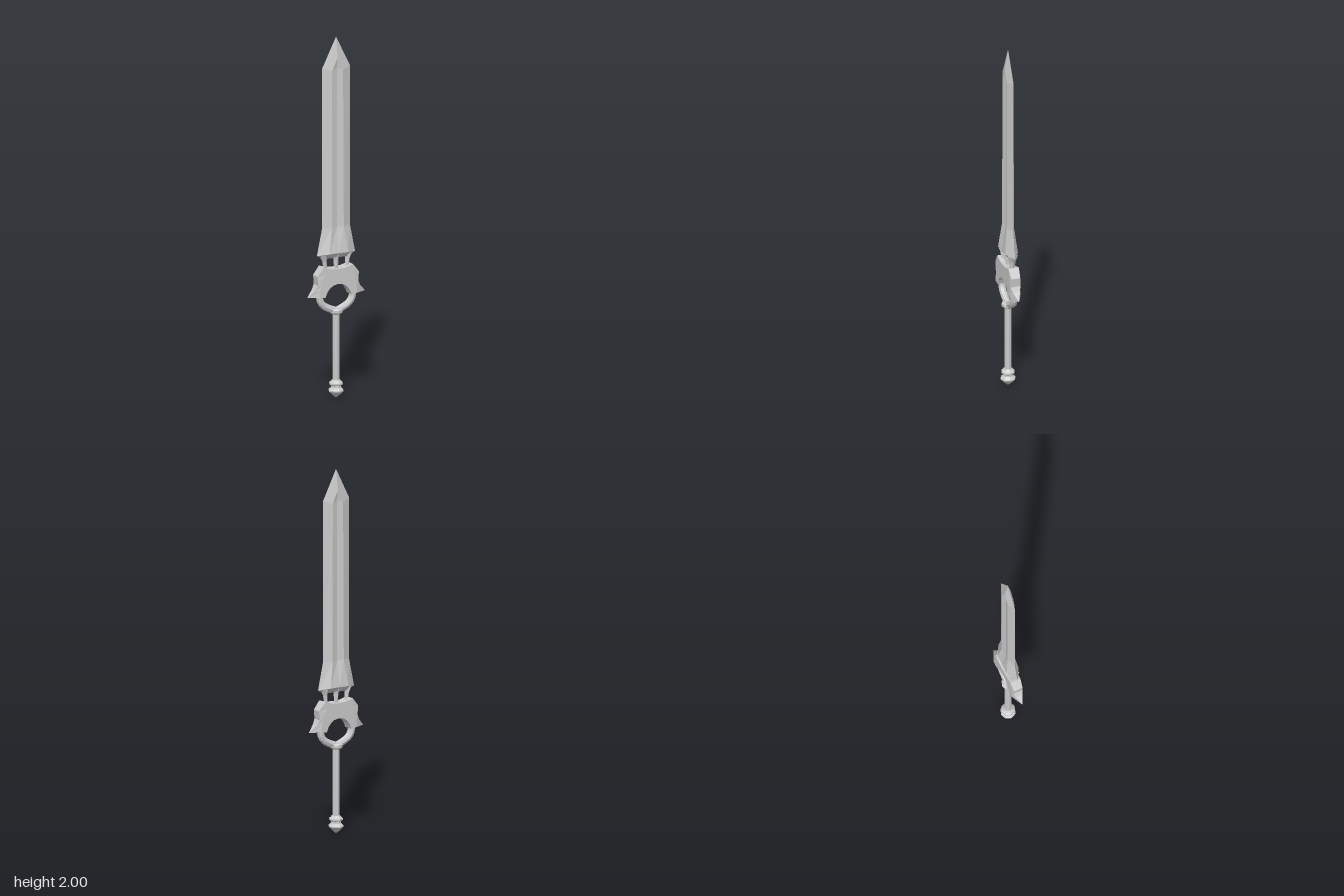
import * as THREE from 'three';

const mat = new THREE.MeshStandardMaterial({ color: 0xcccccc, flatShading: true, side: THREE.DoubleSide });

// Skins a list of closed rings (arrays of [x, y, z]) and caps both ends
function loft(rings) {
  const n = rings[0].length, last = (rings.length - 1) * n, index = [];
  for (let r = 0; r < rings.length - 1; r++) {
    for (let i = 0; i < n; i++) {
      const a = r * n + i, b = r * n + (i + 1) % n;
      index.push(a, b, b + n, a, b + n, a + n);
    }
  }
  for (let i = 1; i < n - 1; i++) index.push(0, i + 1, i, last, last + i, last + i + 1);
  const geo = new THREE.BufferGeometry();
  geo.setAttribute('position', new THREE.Float32BufferAttribute(rings.flat(2), 3));
  geo.setIndex(index);
  const flat = geo.toNonIndexed();
  flat.computeVertexNormals();
  return flat;
}

export function createModel() {
  const group = new THREE.Group();
  const add = (name, geo) => {
    const mesh = new THREE.Mesh(geo, mat);
    mesh.name = name;
    group.add(mesh);
    return mesh;
  };
  const lathe = (name, profile) =>
    add(name, new THREE.LatheGeometry(profile.map(([r, y]) => new THREE.Vector2(r, y)), 8));

  // Blade: cutting edges, fuller borders and a grooved centre line.
  // Row: edge x, edge y, border x, border y, border z, centre y, centre z
  const bladeRows = [
    [0.07, 0.775, 0.045, 0.785, 0.020, 0.785, 0.020],
    [0.115, 0.797, 0.056, 0.808, 0.036, 0.808, 0.034],
    [0.083, 0.95, 0.036, 0.95, 0.021, 0.95, 0.012],
    [0.083, 1.833, 0.033, 1.815, 0.019, 1.83, 0.011],
    [0.083, 1.833, 0.033, 1.815, 0.019, 1.886, 0.018],
    [0, 2, 0, 2, 0, 2, 0],
  ];
  add('blade', loft(bladeRows.map(([ex, ey, bx, by, bz, cy, cz]) => [
    [-ex, ey, 0], [-bx, by, bz], [0, cy, cz], [bx, by, bz],
    [ex, ey, 0], [bx, by, -bz], [0, cy, -cz], [-bx, by, -bz],
  ])));

  // Prongs holding the blade above the guard
  const prong = (name, x, slant, wTop, wBottom, yBottom) => {
    const ring = (y, cx, w, d) => [[cx - w, y, 0], [cx, y, d], [cx + w, y, 0], [cx, y, -d]];
    add(name, loft([
      ring(yBottom, x - slant, wBottom, 0.012),
      ring(0.765, x - slant * 0.5, wBottom * 1.25, 0.019),
      ring(0.80, x, wTop, 0.03),
    ]));
  };
  prong('centreProng', 0, 0, 0.022, 0.012, 0.71);
  for (const s of [1, -1]) prong(s > 0 ? 'leftProng' : 'rightProng', s * 0.075, s * 0.012, 0.026, 0.011, 0.715);

  // Arched guard, thinning towards its pointed wings.
  // Station: inner x, y, middle x, y, outer x, y
  const half = [
    [0, 0.637, 0, 0.69, 0, 0.72],
    [0.03, 0.631, 0.035, 0.69, 0.04, 0.722],
    [0.05, 0.618, 0.075, 0.695, 0.088, 0.735],
    [0.066, 0.598, 0.100, 0.665, 0.125, 0.69],
    [0.074, 0.580, 0.105, 0.630, 0.120, 0.64],
    [0.078, 0.568, 0.110, 0.605, 0.135, 0.612],
    [0.088, 0.570, 0.112, 0.574, 0.173, 0.573],
  ];
  const stations = [
    ...half.slice(1).reverse().map((p) => p.map((v, i) => (i % 2 ? v : -v))),
    ...half,
  ];
  const depth = (x) => 0.03 * Math.min(1, (0.174 - Math.abs(x)) / 0.06);
  add('guard', loft(stations.map(([ix, iy, mx, my, ox, oy]) => [
    [ox, oy, depth(ox)], [mx, my, depth(mx)], [ix, iy, depth(ix)],
    [ix, iy, -depth(ix)], [mx, my, -depth(mx)], [ox, oy, -depth(ox)],
  ])));

  // Curved arms joining the guard to the grip
  for (const s of [1, -1]) {
    const path = new THREE.CatmullRomCurve3([
      [0.098, 0.585], [0.098, 0.555], [0.08, 0.522], [0.042, 0.498], [0.008, 0.485],
    ].map(([x, y]) => new THREE.Vector3(s * x, y, 0)));
    add(s > 0 ? 'leftArm' : 'rightArm', new THREE.TubeGeometry(path, 8, 0.02, 8, false));
  }

  // Collar, grip and pommel
  lathe('collar', [[0, 0.465], [0.026, 0.465], [0.036, 0.474], [0.036, 0.488], [0.026, 0.496], [0, 0.496]]);
  lathe('grip', [[0.019, 0.07], [0.019, 0.47]]);
  lathe('pommelRing', [[0, 0.07], [0.03, 0.07], [0.038, 0.076], [0.038, 0.084], [0.03, 0.09], [0.022, 0.1], [0, 0.1]]);
  lathe('pommel', [[0, 0], [0.018, 0.014], [0.042, 0.038], [0.042, 0.044], [0.028, 0.058], [0.026, 0.075], [0, 0.075]]);

  return group;
}
